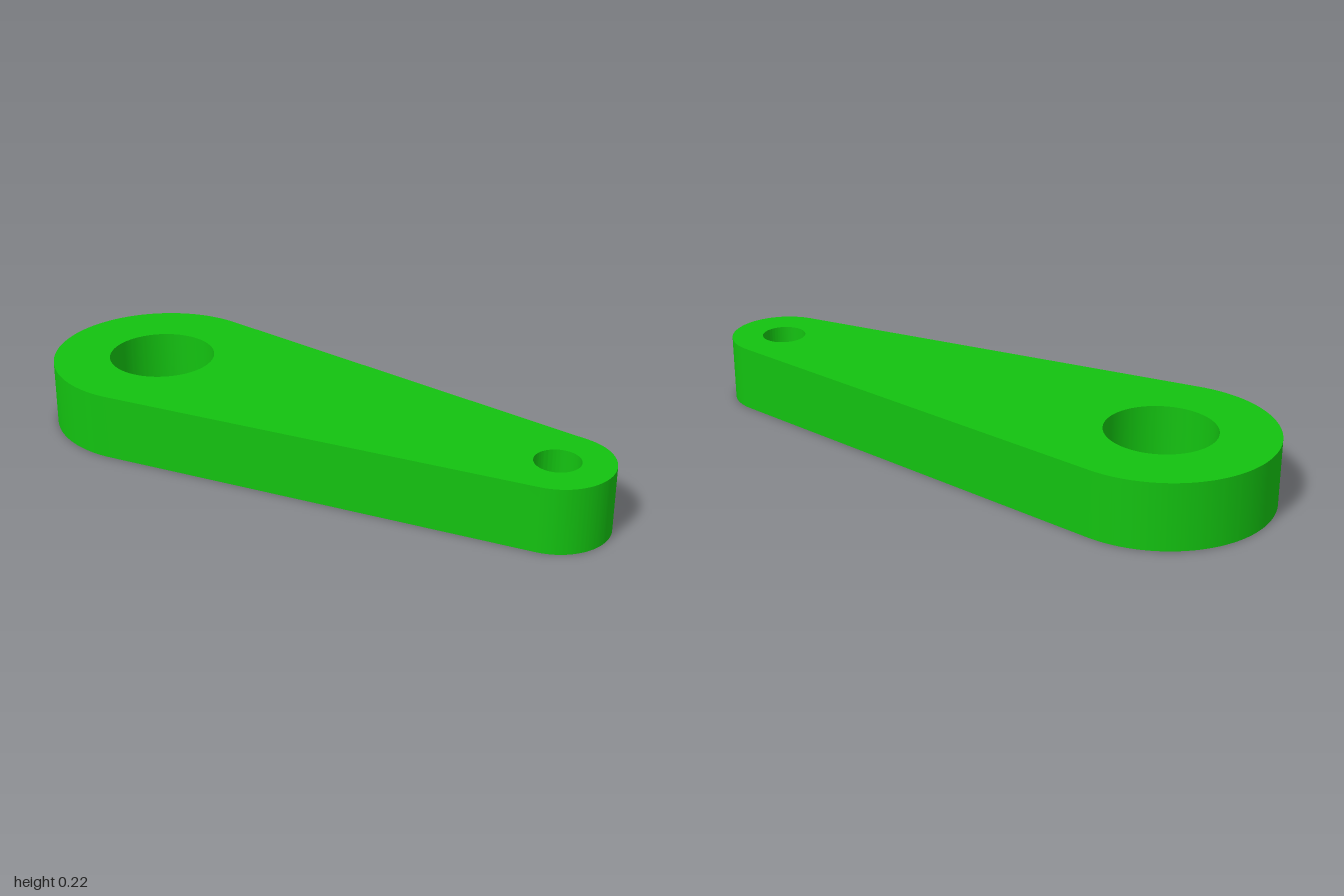
import * as THREE from 'three';
import { toCreasedNormals } from 'three/addons/utils/BufferGeometryUtils.js';

const HEIGHT = 0.218;
const BIG = { x: -0.636, radius: 0.364, bore: 0.176 };
const SMALL = { x: 0.823, radius: 0.177, bore: 0.073 };

export function createModel() {
  const group = new THREE.Group();
  group.name = 'leverArm';

  // Outline: two round ends joined by their common tangents
  const tangent = Math.acos((BIG.radius - SMALL.radius) / (SMALL.x - BIG.x));
  const outline = new THREE.Shape();
  outline.absarc(BIG.x, 0, BIG.radius, tangent, 2 * Math.PI - tangent, false);
  outline.absarc(SMALL.x, 0, SMALL.radius, -tangent, tangent, false);
  outline.closePath();

  // Through bores, concentric with the round ends
  for (const end of [BIG, SMALL]) {
    outline.holes.push(new THREE.Path().absarc(end.x, 0, end.bore, 0, 2 * Math.PI, true));
  }

  // Extrude upward; walls smooth, rims sharp
  const plate = new THREE.ExtrudeGeometry(outline, { depth: HEIGHT, bevelEnabled: false, curveSegments: 64 });
  plate.rotateX(-Math.PI / 2);
  const arm = new THREE.Mesh(
    toCreasedNormals(plate, 0.5),
    new THREE.MeshStandardMaterial({ color: 0x13c210 })
  );
  arm.name = 'armPlate';
  group.add(arm);
  return group;
}
